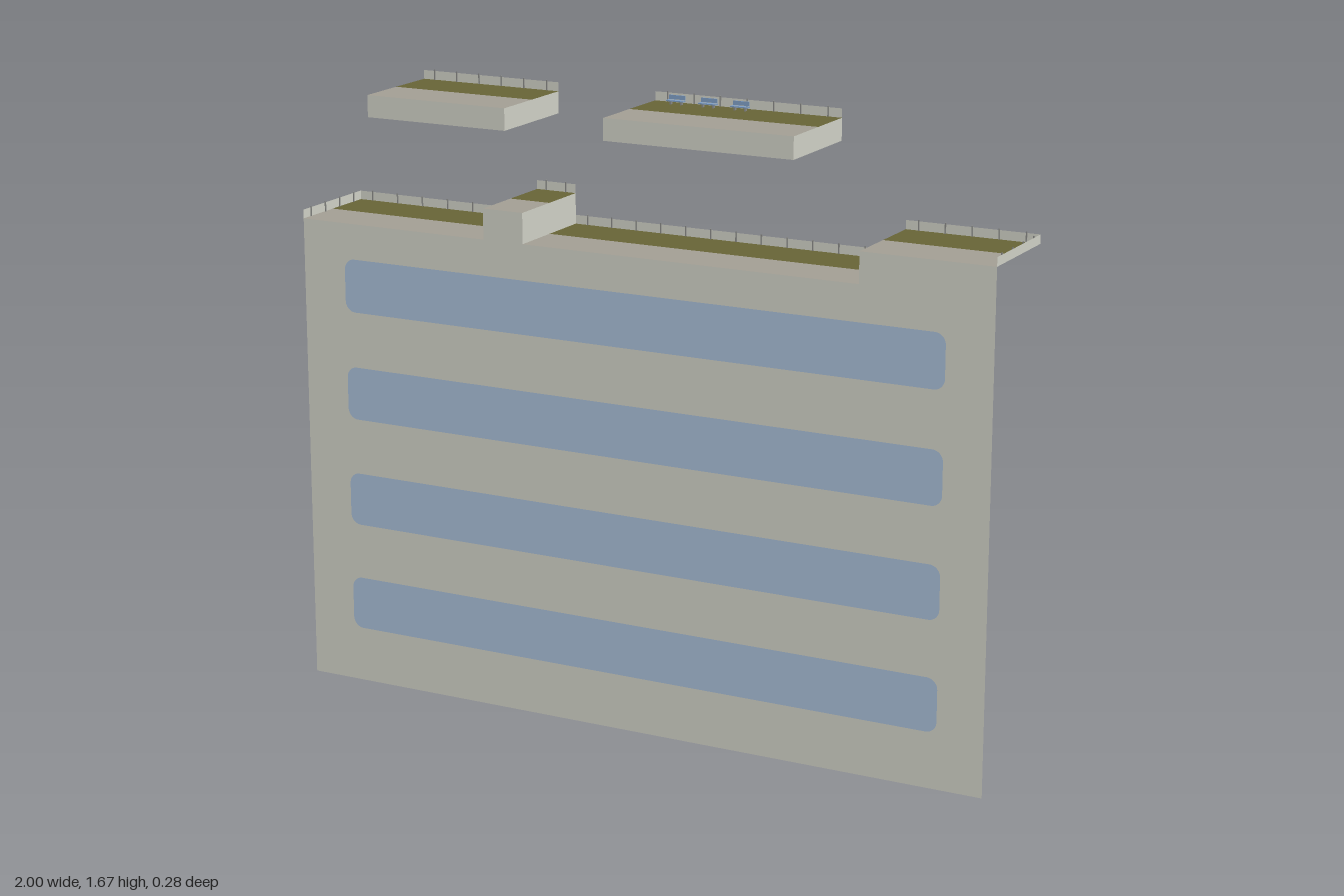
import * as THREE from 'three';

const mat = (name, color) => {
  const m = new THREE.MeshStandardMaterial({ color, side: THREE.DoubleSide });
  m.name = name;
  return m;
};

const Z = 0.142;        // half depth
const FENCE = 0.024;    // parapet height
const LOW = 1.292, HIGH = 1.375;

export function createModel() {
  const concrete = mat('concrete', 0xd2d3c8);
  const paving = mat('paving', 0xa39f94);
  const olive = mat('olive', 0x676436);
  const glass = mat('glass blue', 0xa9bfd9);
  const metal = mat('post grey', 0x8a8b88);
  const seatBlue = mat('seat blue', 0x7f9fc6);

  const model = new THREE.Group();
  model.name = 'elevatedWalkway';

  const add = (parent, name, geometry, material, x = 0, y = 0, z = 0) => {
    const mesh = new THREE.Mesh(geometry, material);
    mesh.name = name;
    mesh.position.set(x, y, z);
    parent.add(mesh);
    return mesh;
  };
  const group = (name) => {
    const g = new THREE.Group();
    g.name = name;
    model.add(g);
    return g;
  };
  // Upright sheet across x, upright sheet along z, and level sheet
  const sheetX = (p, name, m, x0, x1, y0, y1, z) =>
    add(p, name, new THREE.PlaneGeometry(x1 - x0, y1 - y0), m, (x0 + x1) / 2, (y0 + y1) / 2, z);
  const sheetZ = (p, name, m, x, y0, y1) =>
    add(p, name, new THREE.PlaneGeometry(2 * Z, y1 - y0).rotateY(Math.PI / 2), m, x, (y0 + y1) / 2, 0);
  const level = (p, name, m, x0, x1, y, z0, z1) =>
    add(p, name, new THREE.PlaneGeometry(x1 - x0, z1 - z0).rotateX(-Math.PI / 2), m, (x0 + x1) / 2, y, (z0 + z1) / 2);

  const post = new THREE.BoxGeometry(0.003, FENCE + 0.004, 0.003);
  // Floor strip: paving in front, olive behind, parapet with posts at the back
  const deck = (p, x0, x1, y) => {
    level(p, 'pavedFloor', paving, x0, x1, y, 0, Z);
    level(p, 'oliveFloor', olive, x0, x1, y, -Z, 0);
    sheetX(p, 'parapet', concrete, x0, x1, y, y + FENCE, -Z);
    const n = Math.max(2, Math.round((x1 - x0) / 0.075));
    for (let i = 0; i < n; i++)
      add(p, 'parapetPost', post, metal, x0 + (x1 - x0) * (i + 0.5) / n, y + FENCE / 2 + 0.002, -Z + 0.002);
  };

  // Front wall with stepped top and four window bands
  const wall = new THREE.Shape([
    [-1, 0], [1, 0], [1, HIGH], [0.637, HIGH], [0.637, LOW], [-0.32, LOW],
    [-0.32, HIGH], [-0.438, HIGH], [-0.438, LOW], [-1, LOW],
  ].map(([x, y]) => new THREE.Vector2(x, y)));
  const band = (Type, y) => {
    const s = new Type(), w = 0.872, h = 0.146, r = 0.03, q = Math.PI / 2;
    s.absarc(w - r, y + r, r, -q, 0);
    s.absarc(w - r, y + h - r, r, 0, q);
    s.absarc(-w + r, y + h - r, r, q, 2 * q);
    s.absarc(-w + r, y + r, r, 2 * q, 3 * q);
    s.closePath();
    return s;
  };
  const facade = group('facade');
  for (let i = 0; i < 4; i++) {
    const y = 0.152 + i * 0.299;
    wall.holes.push(band(THREE.Path, y));
    add(facade, 'windowBand', new THREE.ShapeGeometry(band(THREE.Shape, y), 6), glass, 0, 0, Z);
  }
  add(facade, 'frontWall', new THREE.ShapeGeometry(wall, 6), concrete, 0, 0, Z);

  // Stepped terrace on top of the wall
  const terrace = group('terrace');
  for (const [x0, x1, y] of [[-1, -0.438, LOW], [-0.438, -0.32, HIGH], [-0.32, 0.637, LOW], [0.637, 1, HIGH]])
    deck(terrace, x0, x1, y);
  for (const x of [-0.438, -0.32, 0.637]) sheetZ(terrace, 'stepSide', concrete, x, LOW, HIGH);
  for (const [x, y] of [[-1, LOW], [1, HIGH]]) {
    sheetZ(terrace, 'endParapet', concrete, x, y, y + FENCE);
    for (let i = 0; i < 4; i++)
      add(terrace, 'endPost', post, metal, x * 0.998, y + FENCE / 2 + 0.002, -Z + 0.04 + i * 0.07);
  }

  // Two floating platforms, open at the back
  const BOTTOM = 1.586, TOP = 1.645;
  for (const [x0, x1] of [[-0.787, -0.37], [-0.08, 0.455]]) {
    const p = group('floatingPlatform');
    deck(p, x0, x1, TOP);
    sheetX(p, 'platformFront', concrete, x0, x1, BOTTOM, TOP, Z);
    level(p, 'platformBase', concrete, x0, x1, BOTTOM, -Z, Z);
    for (const x of [x0, x1]) sheetZ(p, 'platformSide', concrete, x, BOTTOM, TOP);
  }

  // Three small benches
  for (const x of [-0.003, 0.09, 0.182]) {
    const b = group('bench');
    b.position.set(x, TOP, -0.112);
    add(b, 'benchSeat', new THREE.BoxGeometry(0.05, 0.003, 0.014), seatBlue, 0, 0.01, 0.002);
    add(b, 'benchBack', new THREE.BoxGeometry(0.046, 0.011, 0.003), seatBlue, 0, 0.018, -0.006);
    for (const s of [-1, 1])
      add(b, 'benchLeg', new THREE.BoxGeometry(0.004, 0.01, 0.008), metal, s * 0.015, 0.005, 0);
  }
  return model;
}
